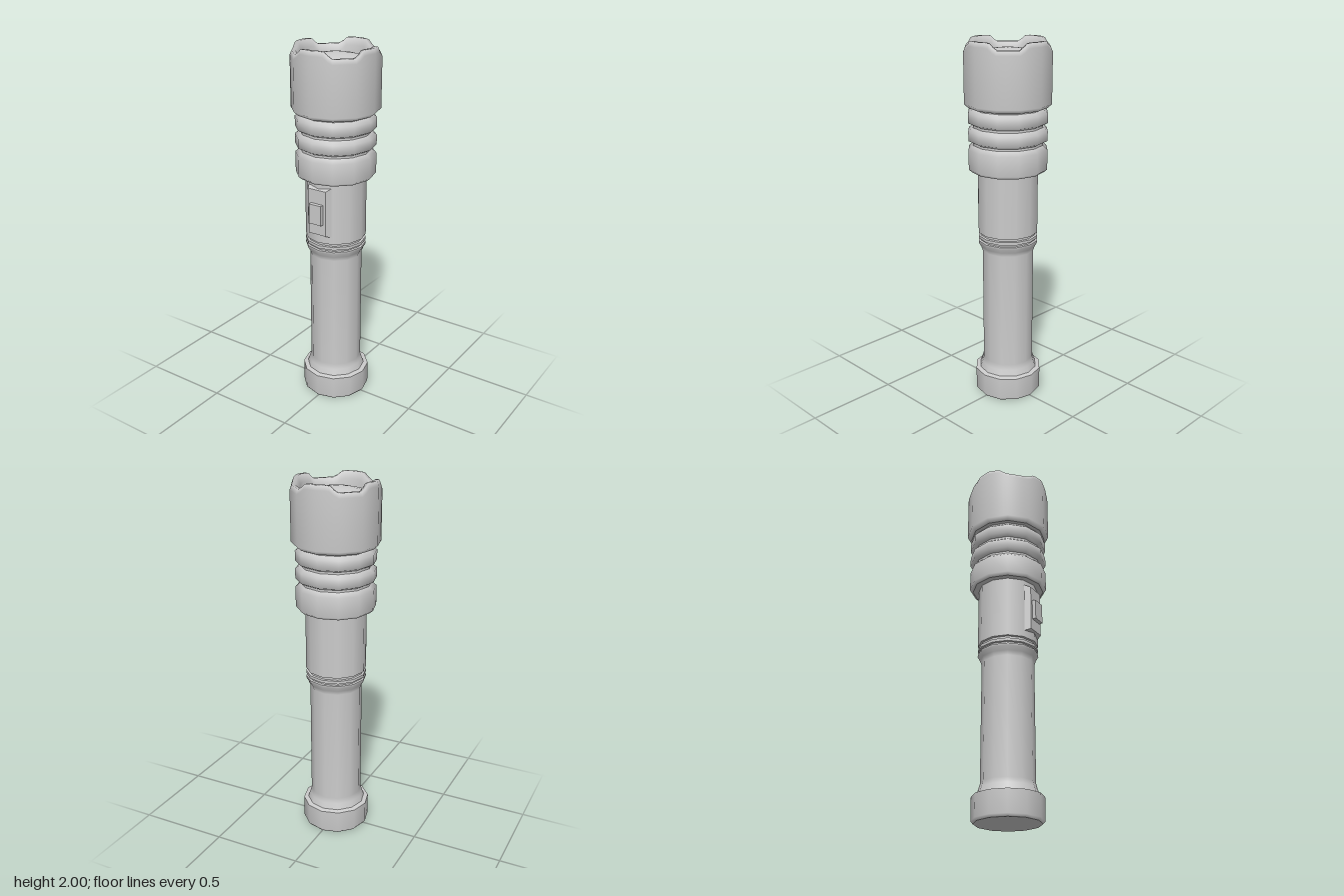
import * as THREE from 'three';
import { toCreasedNormals } from 'three/addons/utils/BufferGeometryUtils.js';

const SIDES = 12;

export function createModel() {
  const group = new THREE.Group();
  group.name = 'flashlight';
  const material = new THREE.MeshStandardMaterial({ color: 0xcccccc });

  const add = (name, geometry) => {
    const mesh = new THREE.Mesh(geometry, material);
    mesh.name = name;
    group.add(mesh);
    return mesh;
  };

  // Turned part from [radius, height, sharp]; a sharp point is doubled so the normals break there
  const turned = (profile, segments = SIDES) => {
    const points = profile.flatMap(([r, y, sharp]) =>
      Array.from({ length: sharp ? 2 : 1 }, () => new THREE.Vector2(r, y)));
    return new THREE.LatheGeometry(points, segments);
  };

  // Tail cap with a bevelled foot
  add('tailCap', turned([
    [0, 0], [0.176, 0, 1], [0.188, 0.014], [0.188, 0.136, 1], [0.163, 0.142],
  ]));

  // Slim grip, flared at both ends
  add('grip', turned([
    [0.163, 0.142], [0.152, 0.175], [0.143, 0.205], [0.143, 0.86],
    [0.152, 0.885], [0.165, 0.908], [0.165, 0.92, 1], [0.153, 0.922],
  ]));

  // Thin ring between two grooves
  add('collarRing', turned([
    [0.153, 0.922], [0.153, 0.932, 1], [0.165, 0.934, 1], [0.165, 0.95, 1],
    [0.153, 0.952, 1], [0.153, 0.965],
  ]));

  // Switch housing
  add('switchBody', turned([
    [0.153, 0.965, 1], [0.165, 0.967, 1], [0.165, 1.312],
  ]));

  // Raised pad that blends into the housing: a box tapered towards its front
  const pad = new THREE.BoxGeometry(0.18, 0.3, 0.06);
  const p = pad.attributes.position;
  for (let i = 0; i < p.count; i++) {
    if (p.getZ(i) > 0) p.setXY(i, p.getX(i) * 0.6, p.getY(i) * 0.84);
  }
  pad.translate(0, 1.145, 0.146);
  add('switchPad', toCreasedNormals(pad, 0.9));

  // Push button with a slightly narrowed face
  const button = new THREE.BoxGeometry(0.08, 0.116, 0.05);
  const b = button.attributes.position;
  for (let i = 0; i < b.count; i++) {
    if (b.getZ(i) > 0) b.setXY(i, b.getX(i) * 0.94, b.getY(i) * 0.95);
  }
  button.translate(0, 1.138, 0.171);
  button.computeVertexNormals();
  add('switchButton', button);

  // Neck with a wide base and two cooling fins
  const neck = [
    [0.165, 1.31], [0.198, 1.31, 1], [0.215, 1.325], [0.215, 1.432],
    [0.19, 1.455, 1], [0.19, 1.467, 1],
  ];
  for (const y of [1.48, 1.575]) {
    neck.push([0.215, y], [0.215, y + 0.052], [0.19, y + 0.07, 1], [0.19, y + 0.082, 1]);
  }
  neck.push([0.2, 1.656]);
  add('coolingFins', turned(neck));

  // Head: a fine lathe pulled onto the 12-sided outline, with four notches cut in the rim
  const head = turned([
    [0.188, 1.652], [0.212, 1.654, 1], [0.235, 1.675], [0.235, 1.976], [0.225, 2],
    [0.205, 2], [0.19, 1.962], [0.188, 1.9],
  ], SIDES * 5);
  const h = head.attributes.position;
  for (let i = 0; i < h.count; i++) {
    const x = h.getX(i), y = h.getY(i), z = h.getZ(i);
    const degrees = THREE.MathUtils.radToDeg(Math.atan2(x, z)) + 360;
    const offset = THREE.MathUtils.degToRad((degrees % 30) - 15);
    const flat = Math.cos(Math.PI / SIDES) / Math.cos(offset);
    const fromTooth = Math.abs(((degrees + 45) % 90) - 45);
    const notch = THREE.MathUtils.clamp((fromTooth - 17) / 11, 0, 1);
    h.setXYZ(i, x * flat, y > 1.95 ? y - 0.035 * notch : y, z * flat);
  }
  add('head', head);

  // Domed lens set inside the rim
  const dome = [];
  for (let i = 0; i <= 6; i++) {
    const t = i / 6;
    dome.push([0.189 * (1 - t), 1.92 + 0.037 * (1 - (1 - t) ** 2)]);
  }
  add('lens', turned(dome));

  return group;
}
